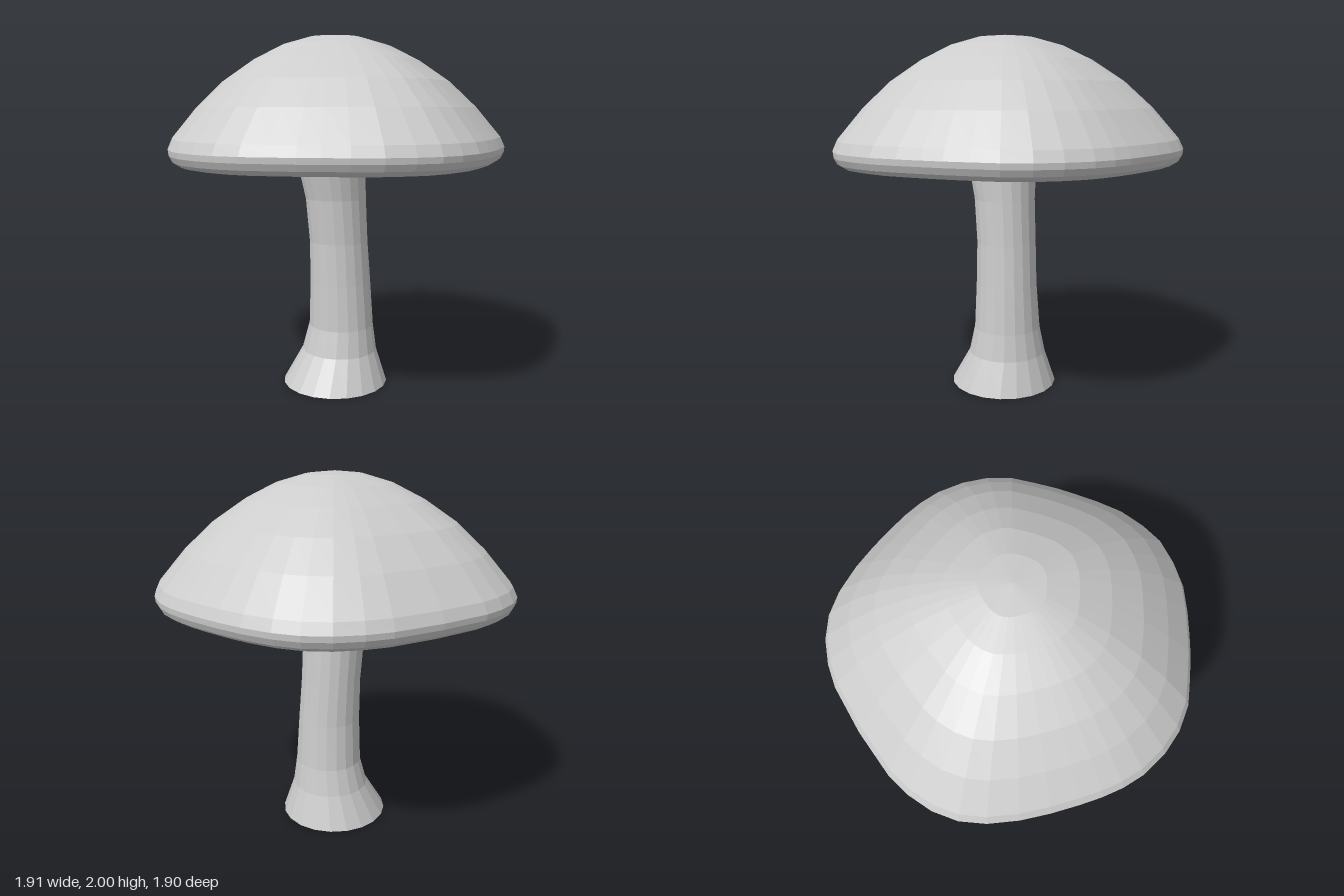
import * as THREE from 'three';

// Skin a stack of equal-length rings; optionally close each end with a fan
function loft(rings, startPoint, endPoint) {
  const n = rings[0].length, pos = rings.flat(2), index = [];
  for (let i = 0; i < rings.length - 1; i++) {
    for (let j = 0; j < n; j++) {
      const a = i * n + j, b = i * n + (j + 1) % n;
      index.push(a, b, a + n, b, b + n, a + n);
    }
  }
  const fan = (point, base, flip) => {
    const c = pos.length / 3;
    pos.push(...point);
    for (let j = 0; j < n; j++) {
      const a = base + j, b = base + (j + 1) % n;
      index.push(...(flip ? [c, b, a] : [c, a, b]));
    }
  };
  if (startPoint) fan(startPoint, 0, true);
  if (endPoint) fan(endPoint, (rings.length - 1) * n, false);
  const g = new THREE.BufferGeometry();
  g.setAttribute('position', new THREE.Float32BufferAttribute(pos, 3));
  g.setIndex(index);
  const flat = g.toNonIndexed();
  flat.computeVertexNormals();
  return flat;
}

export function createModel() {
  const group = new THREE.Group();
  const grey = new THREE.MeshStandardMaterial({ color: 0xcccccc, flatShading: true, side: THREE.DoubleSide });
  grey.name = 'plain grey';

  // Half of the cap's rounded five-sided rim, [x, z] from front to back, then mirrored
  const half = [
    [0, 0.945], [0.13, 0.925], [0.27, 0.88], [0.4, 0.805], [0.51, 0.73], [0.6, 0.665], [0.7, 0.58],
    [0.8, 0.49], [0.88, 0.37], [0.93, 0.24], [0.955, 0.09], [0.95, -0.03], [0.93, -0.14], [0.9, -0.25],
    [0.855, -0.39], [0.8, -0.53], [0.725, -0.67], [0.64, -0.775], [0.53, -0.855], [0.4, -0.91],
    [0.27, -0.94], [0, -0.953],
  ];
  const rim = [...half, ...half.slice(1, -1).reverse().map(([x, z]) => [-x, z])];

  // Cap: the rim scaled about its peak, [half width, height] from underside to top
  const cz = -0.03;
  const profile = [
    [0.865, 1.293], [0.9, 1.3], [0.935, 1.322], [0.952, 1.355], [0.955, 1.385], [0.93, 1.44],
    [0.79, 1.605], [0.64, 1.745], [0.47, 1.86], [0.31, 1.94], [0.155, 1.985],
  ];
  const capRings = profile.map(([w, y]) =>
    rim.map(([x, z]) => [x * w / 0.955, y, cz + (z - cz) * w / 0.955]));
  const cap = new THREE.Mesh(loft(capRings, [0, 1.293, cz], [0, 2, cz]), grey);
  cap.name = 'cap';
  group.add(cap);

  // Stem: a bent, flared open tube, [y, min x, max x, min z, max z]
  const sections = [
    [0, -0.306, 0.303, -0.328, 0.278],
    [0.19, -0.188, 0.246, -0.251, 0.193],
    [0.34, -0.15, 0.225, -0.214, 0.167],
    [0.6, -0.146, 0.208, -0.195, 0.151],
    [0.84, -0.147, 0.19, -0.196, 0.142],
    [1.09, -0.172, 0.177, -0.198, 0.146],
    [1.293, -0.218, 0.167, -0.225, 0.167],
    [1.34, -0.23, 0.165, -0.232, 0.172],
  ];
  const sides = 20;
  const stemRings = sections.map(([y, x0, x1, z0, z1]) =>
    Array.from({ length: sides }, (_, j) => {
      const a = j / sides * Math.PI * 2;
      return [(x0 + x1) / 2 + (x1 - x0) / 2 * Math.sin(a), y, (z0 + z1) / 2 + (z1 - z0) / 2 * Math.cos(a)];
    }));
  const stem = new THREE.Mesh(loft(stemRings), grey);
  stem.name = 'stem';
  group.add(stem);

  return group;
}
